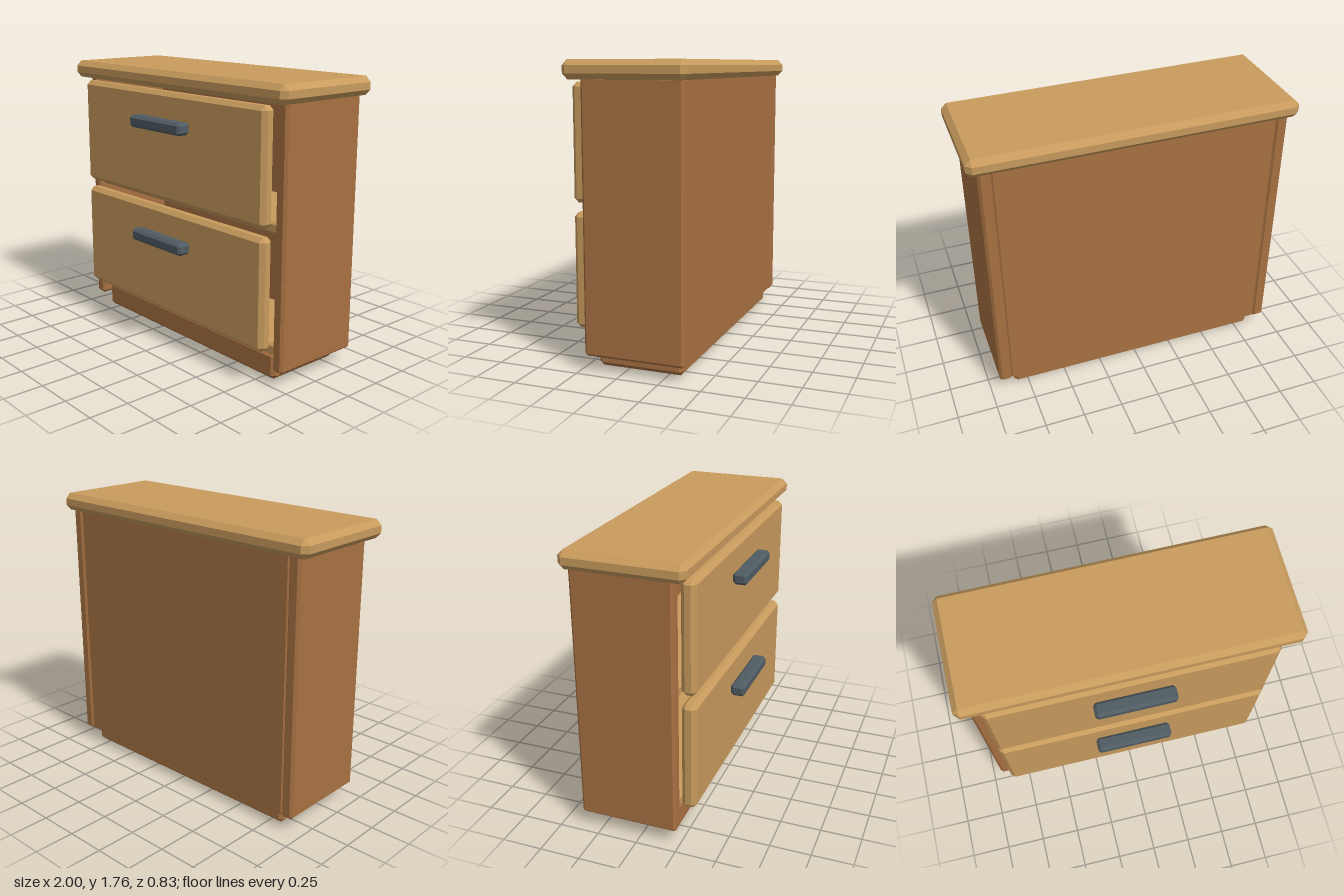
import * as THREE from 'three';
import { ConvexGeometry } from 'three/addons/geometries/ConvexGeometry.js';

const mat = (name, color) => {
  const m = new THREE.MeshStandardMaterial({ color });
  m.name = name;
  return m;
};

// Box with all edges bevelled by b, given as [min, max] on each axis
function bevelBox(x, y, z, b) {
  const c = [x, y, z].map(([lo, hi]) => (lo + hi) / 2);
  const h = [x, y, z].map(([lo, hi]) => (hi - lo) / 2);
  const points = [];
  for (const sx of [-1, 1]) for (const sy of [-1, 1]) for (const sz of [-1, 1]) {
    const s = [sx, sy, sz];
    for (let full = 0; full < 3; full++) {
      const p = s.map((sign, i) => c[i] + sign * (h[i] - (i === full ? 0 : b)));
      points.push(new THREE.Vector3(...p));
    }
  }
  return new ConvexGeometry(points);
}

export function createModel() {
  const group = new THREE.Group();
  group.name = 'drawerCabinet';
  const lightWood = mat('lightWood', 0xc89b5d);
  const darkWood = mat('darkWood', 0xa87142);
  const metal = mat('darkMetal', 0x505c63);

  const add = (name, material, x, y, z, bevel) => {
    const mesh = new THREE.Mesh(bevelBox(x, y, z, bevel), material);
    mesh.name = name;
    group.add(mesh);
  };

  // Hollow carcass
  add('topBoard', lightWood, [-1, 1], [1.655, 1.765], [-0.415, 0.32], 0.033);
  add('leftSide', darkWood, [0.86, 0.94], [0.085, 1.67], [-0.38, 0.23], 0.016);
  add('rightSide', darkWood, [-0.94, -0.86], [0.085, 1.67], [-0.38, 0.23], 0.016);
  add('backPanel', darkWood, [-0.865, 0.865], [0.09, 1.67], [-0.375, -0.335], 0.01);
  add('base', darkWood, [-0.84, 0.84], [0, 0.17], [-0.34, 0.19], 0.025);

  // Shelves under the drawers, then drawer fronts and handles
  for (const [name, bottom] of [['lower', 0.22], ['upper', 0.957]]) {
    add(name + 'Shelf', lightWood, [-0.865, 0.865], [bottom - 0.052, bottom + 0.015], [-0.34, 0.2], 0.012);
    add(name + 'DrawerFront', lightWood, [-0.865, 0.865], [bottom, bottom + 0.683], [0.235, 0.325], 0.026);
    add(name + 'Handle', metal, [-0.245, 0.245], [bottom + 0.45, bottom + 0.525], [0.325, 0.415], 0.016);
  }
  return group;
}
